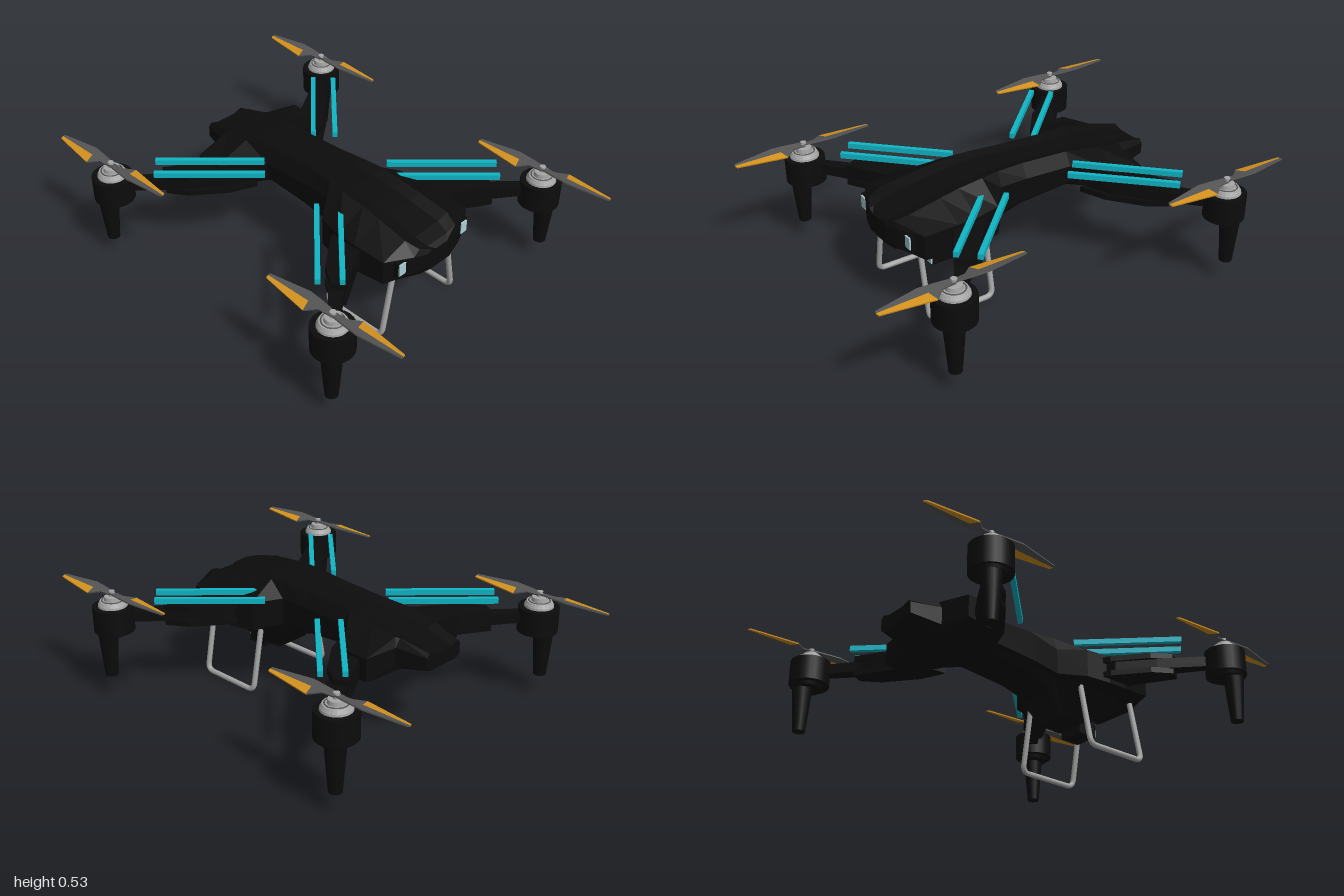
import * as THREE from 'three';

const mat = (name, color) => {
  const m = new THREE.MeshStandardMaterial({ color });
  m.name = name;
  return m;
};

export function createModel() {
  const black = mat('black shell', 0x0c0c0c);
  const cyan = mat('cyan', 0x0fb6c6);
  const silver = mat('silver', 0xa6a6a6);
  const grey = mat('dark grey', 0x555555);
  const orange = mat('orange', 0xd4921e);
  const glass = mat('pale blue glass', 0xabced4);

  const model = new THREE.Group();
  const add = (parent, name, geo, material, x = 0, y = 0, z = 0) => {
    const m = new THREE.Mesh(geo, material);
    m.name = name;
    m.position.set(x, y, z);
    parent.add(m);
    return m;
  };
  // Flat plate drawn in x/z, its top at the given height
  const plate = (pts, top, depth) => {
    const shape = new THREE.Shape(pts.map(p => new THREE.Vector2(p[0], p[1])));
    const g = new THREE.ExtrudeGeometry(shape, { depth, bevelEnabled: false });
    return g.rotateX(Math.PI / 2).translate(0, top, 0);
  };

  // Faceted body: z, ridge x, ridge y, half width, upper side y, lower side y, keel x, keel y
  const stations = [
    [-0.655, 0.09, 0.455, 0.105, 0.44, 0.39, 0.08, 0.375],
    [-0.517, 0.11, 0.485, 0.135, 0.45, 0.37, 0.10, 0.345],
    [-0.500, 0.12, 0.487, 0.292, 0.45, 0.35, 0.14, 0.335],
    [-0.380, 0.12, 0.505, 0.288, 0.45, 0.335, 0.14, 0.315],
    [-0.230, 0.10, 0.518, 0.135, 0.46, 0.385, 0.10, 0.355],
    [0.000, 0.10, 0.530, 0.135, 0.47, 0.37, 0.09, 0.330],
    [0.130, 0.11, 0.535, 0.135, 0.47, 0.35, 0.08, 0.285],
    [0.215, 0.12, 0.533, 0.240, 0.455, 0.325, 0.08, 0.190],
    [0.330, 0.12, 0.520, 0.262, 0.45, 0.32, 0.08, 0.185],
    [0.420, 0.125, 0.507, 0.264, 0.45, 0.32, 0.09, 0.225],
    [0.570, 0.13, 0.480, 0.255, 0.44, 0.33, 0.12, 0.305],
    [0.630, 0.11, 0.460, 0.140, 0.435, 0.35, 0.10, 0.325],
    [0.652, 0.06, 0.445, 0.080, 0.43, 0.36, 0.06, 0.340],
  ];
  const rings = stations.map(([z, wt, yt, w, yu, yl, wb, yb]) => {
    const half = [[wt * 0.55, yt - 0.013], [wt, yt], [w, yu], [w, yl],
      [Math.min(wb + 0.1, w * 0.85), yl - 0.01], [wb, yb]];
    const left = half.slice().reverse().map(([x, y]) => [-x, y]);
    return [...half, ...left].map(([x, y]) => [x, y, z]);
  });
  const pos = [];
  const n = rings[0].length;
  const tri = (...p) => p.forEach(v => pos.push(...v));
  for (let i = 0; i < rings.length - 1; i++) {
    for (let j = 0; j < n; j++) {
      const k = (j + 1) % n, a = rings[i], b = rings[i + 1];
      tri(a[j], b[j], a[k]);
      tri(a[k], b[j], b[k]);
    }
  }
  const tail = rings[0], nose = rings[rings.length - 1];
  for (let j = 0; j < n; j++) {
    const k = (j + 1) % n;
    tri([0, 0.415, tail[0][2]], tail[j], tail[k]);
    tri([0, 0.395, nose[0][2]], nose[k], nose[j]);
  }
  const bodyGeo = new THREE.BufferGeometry();
  bodyGeo.setAttribute('position', new THREE.Float32BufferAttribute(pos, 3));
  bodyGeo.computeVertexNormals();
  add(model, 'body', bodyGeo, black);

  // Camera under the nose
  add(model, 'cameraHousing', new THREE.BoxGeometry(0.12, 0.075, 0.1), black, 0, 0.185, 0.38);
  add(model, 'cameraLens', new THREE.BoxGeometry(0.11, 0.067, 0.008), glass, 0, 0.185, 0.433);

  // Head lights and landing gear on both sides
  for (const s of [-1, 1]) {
    add(model, 'lightHousing', new THREE.BoxGeometry(0.05, 0.07, 0.06), black, s * 0.19, 0.395, 0.58);
    add(model, 'headLight', new THREE.BoxGeometry(0.036, 0.055, 0.008), glass, s * 0.19, 0.395, 0.613);

    const v = (y, z) => new THREE.Vector3(s * (0.225 - (y - 0.013) * 0.19), y, z);
    const path = new THREE.CurvePath();
    const r = 0.035, y0 = 0.0135, zf = 0.548, zb = 0.237;
    path.add(new THREE.LineCurve3(v(0.33, zf), v(y0 + r, zf)));
    path.add(new THREE.QuadraticBezierCurve3(v(y0 + r, zf), v(y0, zf), v(y0, zf - r)));
    path.add(new THREE.LineCurve3(v(y0, zf - r), v(y0, zb + r)));
    path.add(new THREE.QuadraticBezierCurve3(v(y0, zb + r), v(y0, zb), v(y0 + r, zb)));
    path.add(new THREE.LineCurve3(v(y0 + r, zb), v(0.31, zb)));
    add(model, 'landingGear', new THREE.TubeGeometry(path, 90, 0.0125, 8), silver);
  }

  // Shared rotor geometry
  const motorGeo = new THREE.LatheGeometry([
    [0.066, 0.43], [0.064, 0.444], [0.055, 0.46], [0.036, 0.461], [0.034, 0.479],
    [0.013, 0.48], [0.013, 0.504], [0, 0.505],
  ].map(p => new THREE.Vector2(...p)), 24).toNonIndexed();
  motorGeo.computeVertexNormals();
  const bladeGeo = plate([[-0.014, 0], [-0.02, -0.06], [-0.058, -0.1], [-0.013, -0.115],
    [-0.018, -0.33], [-0.007, -0.328], [0.026, -0.14], [0.022, -0.08], [0.014, 0]], 0.003, 0.006);
  const trailGeo = plate([[-0.058, -0.1], [-0.032, -0.325], [-0.018, -0.33], [-0.013, -0.115]], 0.003, 0.006);

  // Four arms, each with fork, motor pod, foot, rotor and two cyan bars
  for (const sx of [-1, 1]) {
    for (const sz of [-1, 1]) {
      const arm = new THREE.Group();
      arm.name = (sz > 0 ? 'front' : 'rear') + (sx > 0 ? 'Left' : 'Right') + 'Arm';
      model.add(arm);
      const flip = pts => pts.map(([x, z]) => [x * sx, z * sz]);

      const fork = flip([[0.17, 0.26], [0.29, 0.31], [0.43, 0.42], [0.485, 0.505], [0.455, 0.56], [0.29, 0.46], [0.18, 0.42]]);
      add(arm, 'forkTop', plate(fork, 0.436, 0.026), black);
      add(arm, 'forkBottom', plate(fork, 0.366, 0.026), black);
      add(arm, 'armCore', plate(flip([[0.17, 0.28], [0.30, 0.33], [0.44, 0.45], [0.61, 0.61], [0.585, 0.645], [0.44, 0.54], [0.18, 0.41]]), 0.412, 0.048), black);

      add(arm, 'motorPod', new THREE.CylinderGeometry(0.09, 0.09, 0.115, 24), black, sx * 0.643, 0.3775, sz * 0.672);
      add(arm, 'podBase', new THREE.CylinderGeometry(0.072, 0.066, 0.02, 24), black, sx * 0.65, 0.315, sz * 0.676);
      add(arm, 'foot', new THREE.CylinderGeometry(0.046, 0.028, 0.22, 16), black, sx * 0.667, 0.21, sz * 0.69);
      add(arm, 'motor', motorGeo, silver, sx * 0.643, 0, sz * 0.672);
      add(arm, 'motorSeam', new THREE.TorusGeometry(0.046, 0.003, 6, 24).rotateX(Math.PI / 2), grey, sx * 0.643, 0.461, sz * 0.672);

      const rotor = new THREE.Group();
      rotor.name = 'propeller';
      rotor.position.set(sx * 0.643, 0.491, sz * 0.672);
      arm.add(rotor);
      for (const turn of [0, Math.PI]) {
        const blade = new THREE.Group();
        blade.name = 'blade';
        add(blade, 'bladeBody', bladeGeo, grey);
        add(blade, 'bladeTrailingEdge', trailGeo, orange);
        blade.rotation.set(0, turn, 0.2);
        rotor.add(blade);
      }

      for (const [x0, z0, x1, z1] of [[0.215, 0.157, 0.548, 0.497], [0.15, 0.23, 0.483, 0.567]]) {
        const dx = (x1 - x0) * sx, dz = (z1 - z0) * sz;
        const bar = add(arm, 'cyanBar', new THREE.BoxGeometry(0.022, 0.024, Math.hypot(dx, dz)), cyan,
          sx * (x0 + x1) / 2, 0.479, sz * (z0 + z1) / 2);
        bar.rotation.y = Math.atan2(dx, dz);
      }
    }
  }
  return model;
}
